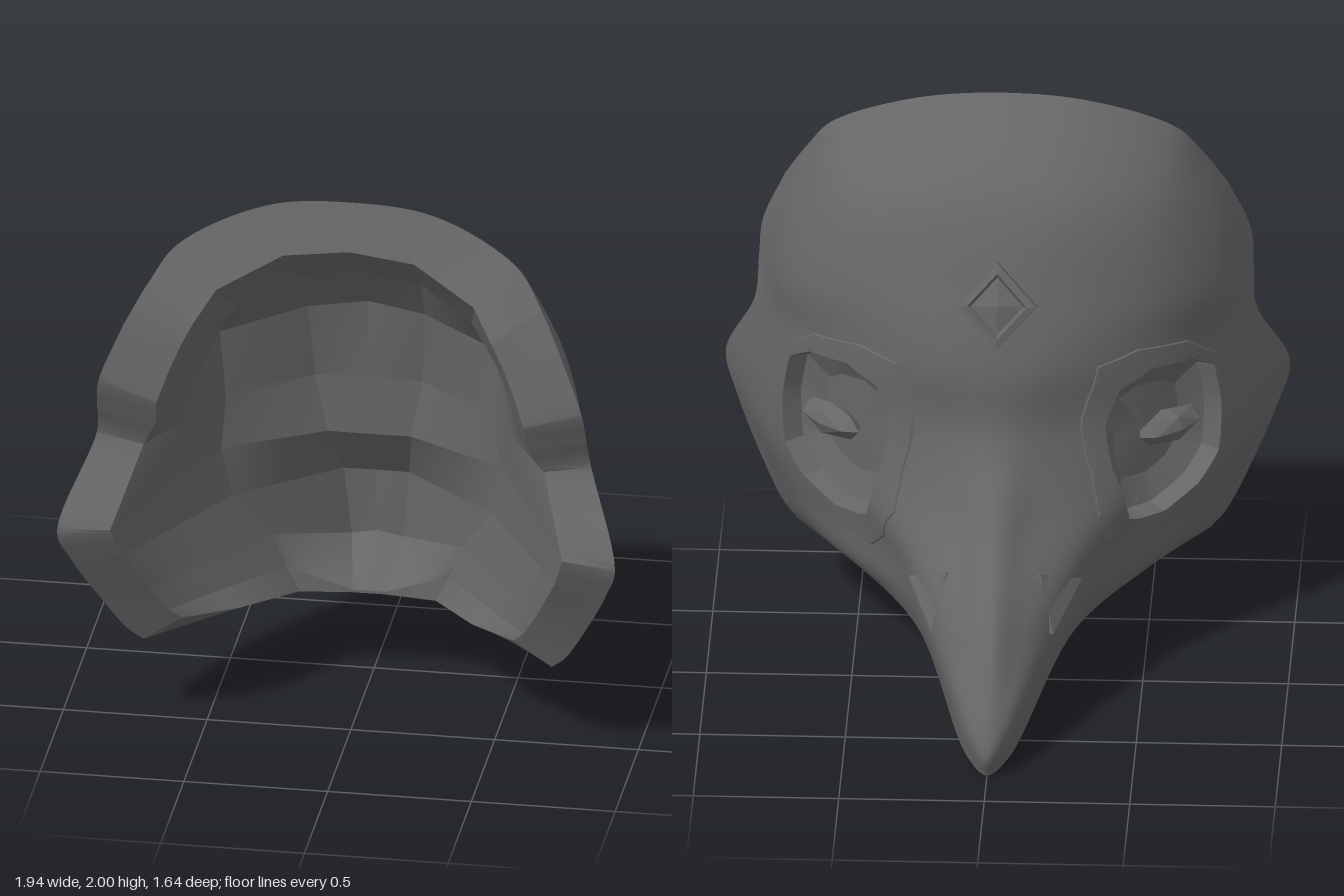
import * as THREE from 'three';
import { toCreasedNormals } from 'three/addons/utils/BufferGeometryUtils.js';
import { ConvexGeometry } from 'three/addons/geometries/ConvexGeometry.js';

// Half cross-sections from crown to beak edge; each runs from centre line to side rim.
const SECTIONS = [
  [[0, 2, .48], [.3, 1.97, .49], [.59, 1.84, .57], [.68, 1.72, .63], [.76, 1.58, .7]],
  [[0, 1.77, .15], [.28, 1.74, .17], [.54, 1.66, .28], [.72, 1.53, .47], [.84, 1.38, .74]],
  [[0, 1.45, .0], [.27, 1.43, .04], [.55, 1.38, .17], [.74, 1.31, .38], [.85, 1.27, .7]],
  [[0, 1.2, -.07], [.23, 1.2, -.03], [.53, 1.18, .14], [.73, 1.16, .37], [.86, 1.14, .65]],
  [[0, .95, -.1], [.18, .95, -.05], [.55, .95, .14], [.77, .92, .4], [.97, .84, .82]],
  [[0, .69, -.29], [.14, .7, -.18], [.51, .72, .1], [.78, .7, .42], [.93, .71, .77]],
  [[0, .42, -.6], [.11, .4, -.51], [.38, .5, 0], [.69, .5, .37], [.83, .5, .66]],
  [[0, .09, -.82], [.07, .15, -.75], [.32, .35, -.07], [.61, .38, .32], [.76, .38, .6]],
  [[0, .005, -.79], [.07, .035, -.71], [.27, .24, -.1], [.5, .3, .28], [.71, .33, .57]],
];
// Eye outlines seen from the side, as [z, y]
const LID = [[.37, 1.08], [.25, 1.18], [.1, 1.21], [.02, 1.18], [0, 1], [-.02, .8], [-.05, .65],
  [0, .54], [.08, .47], [.2, .48], [.33, .55], [.4, .68], [.41, .9]];
const OPENING = [[.35, 1.05], [.26, 1.11], [.13, 1.13], [.06, 1.08], [.03, .95], [.02, .8], [.03, .66],
  [.06, .59], [.11, .57], [.2, .56], [.3, .62], [.36, .72], [.37, .9]];
const EYE = [.18, .84];
const STEPS = 12, N = 8 * STEPS; // grid cells per side

const mirrorRow = (row) => [
  ...row.slice(1).reverse().map(([x, y, z]) => new THREE.Vector3(-x, y, z)),
  ...row.map((p) => new THREE.Vector3(...p)),
];

function smoothPath(points) {
  const curve = new THREE.CatmullRomCurve3(points);
  return Array.from({ length: N + 1 }, (_, i) => curve.getPoint(i / N));
}

function straightPath(points) {
  return Array.from({ length: N + 1 }, (_, i) => {
    const k = Math.min(Math.floor(i / STEPS), 7);
    return points[k].clone().lerp(points[k + 1], i / STEPS - k);
  });
}

// Fill a control net: grid[column][row]
function fillNet(net, path) {
  const rows = net.map(path);
  return Array.from({ length: N + 1 }, (_, i) => path(rows.map((r) => r[i])));
}

function meshFrom(points, index) {
  const g = new THREE.BufferGeometry().setFromPoints(points);
  g.setIndex(index);
  return g;
}

function gridGeometry(grid, flip, skip = () => false) {
  const index = [], id = (i, j) => i * (N + 1) + j;
  for (let i = 0; i < N; i++) for (let j = 0; j < N; j++) {
    if (skip(grid[i][j].clone().lerp(grid[i + 1][j + 1], .5))) continue;
    const a = id(i, j), b = id(i + 1, j), c = id(i + 1, j + 1), d = id(i, j + 1);
    index.push(...(flip ? [a, d, b, b, d, c] : [a, b, d, b, c, d]));
  }
  return meshFrom(grid.flat(), index);
}

// Boundary loop of a grid
function border(grid) {
  const loop = [];
  for (let i = 0; i < N; i++) loop.push(grid[i][0]);
  for (let j = 0; j < N; j++) loop.push(grid[N][j]);
  for (let i = N; i > 0; i--) loop.push(grid[i][N]);
  for (let j = N; j > 0; j--) loop.push(grid[0][j]);
  return loop;
}

// Skin a stack of equal closed loops
function loopGeometry(loops, flip) {
  const n = loops[0].length, index = [];
  for (let r = 0; r + 1 < loops.length; r++) for (let i = 0; i < n; i++) {
    const a = r * n + i, b = r * n + (i + 1) % n, c = a + n, d = b + n;
    index.push(...(flip ? [a, b, c, b, d, c] : [a, c, b, b, c, d]));
  }
  return meshFrom(loops.flat(), index);
}

// Left side point of the face at a given depth and height
function sidePoint(grid, z, y) {
  const flat = (p) => new THREE.Vector3(p.z, p.y, 0);
  const target = new THREE.Vector3(z, y, 0), w = new THREE.Vector3();
  let x = 0;
  for (let i = N / 2; i < N; i++) for (let j = 0; j < N; j++) {
    const [a, b, c, d] = [grid[i][j], grid[i + 1][j], grid[i + 1][j + 1], grid[i][j + 1]];
    for (const t of [[a, b, d], [b, c, d]]) {
      if (Math.max(...t.map((p) => p.y)) < y || Math.min(...t.map((p) => p.y)) > y) continue;
      if (!THREE.Triangle.getBarycoord(target, ...t.map(flat), w)) continue;
      if (Math.min(w.x, w.y, w.z) < -1e-4) continue;
      x = Math.max(x, t[0].x * w.x + t[1].x * w.y + t[2].x * w.z);
    }
  }
  return new THREE.Vector3(x, y, z);
}

const scaleOutline = (outline, k) => outline.map((p) => p.map((v, i) => EYE[i] + (v - EYE[i]) * k));
const blend = (a, b, t) => a.map((p, k) => p.map((v, i) => v + (b[k][i] - v) * t));
const subdivide = (outline) => outline.flatMap((p, k) => {
  const q = outline[(k + 1) % outline.length];
  return [0, 1 / 3, 2 / 3].map((t) => p.map((v, i) => v + (q[i] - v) * t));
});

function inside(outline, z, y) {
  return outline.reduce((hit, [z1, y1], k) => {
    const [z2, y2] = outline[(k + 1) % outline.length];
    const crosses = (y1 > y) !== (y2 > y) && z < z1 + (z2 - z1) * (y - y1) / (y2 - y1);
    return crosses ? !hit : hit;
  }, false);
}

function facet(g) {
  const f = g.index ? g.toNonIndexed() : g;
  f.computeVertexNormals();
  return f;
}

export function createModel() {
  const group = new THREE.Group();
  const grey = new THREE.MeshStandardMaterial({ color: 0x666666 });
  grey.name = 'dark grey';
  const add = (name, geometry) => {
    const m = new THREE.Mesh(geometry, grey);
    m.name = name;
    group.add(m);
    return m;
  };

  // Outer face with beak, cut open at the eyes
  const outer = fillNet(SECTIONS.map(mirrorRow), smoothPath);
  const cut = scaleOutline(LID, .94);
  const atEye = (p) => Math.abs(p.x) > .15 && inside(cut, p.z, p.y);
  add('face', toCreasedNormals(gridGeometry(outer, false, atEye), .5));

  // Inner lining: shrunk, moved back, with a shallow hollow behind the beak
  const lining = SECTIONS.map((row, r) => mirrorRow(row.map(([x, y, z], c) => {
    const back = c === 4 ? 0 : r === 0 ? .06 : c === 2 ? .16 : .13;
    const narrow = r < 2 ? .76 : c === 2 ? .88 : r === 2 ? .76 : .81;
    const deepest = r === 5 || r === 6 ? -.2 : -.02;
    const lift = r === 2 && c < 3 ? .09 : 0;
    const height = Math.max(.42 + (y - .33) * .85 + lift, .34 + (8 - r) * .01);
    return [x * narrow, height, Math.max(z, deepest) + back];
  })));
  const inner = fillNet(lining, straightPath);
  add('lining', toCreasedNormals(gridGeometry(inner, true), .15));
  add('rim', toCreasedNormals(loopGeometry([border(outer), border(inner)], false), .4));

  // Forehead diamond with a raised frame
  const profile = [[.16, -.05], [.15, .025], [.115, .032], [.1, .012], [0, .03]]
    .map(([x, y]) => new THREE.Vector2(x, y));
  const diamond = add('foreheadDiamond', facet(new THREE.LatheGeometry(profile, 4)));
  diamond.position.set(0, 1.42, -.01);
  diamond.rotation.x = -1.27;
  diamond.scale.x = .9;

  // Eye socket rings: lid edge, lid, then the hollow; each with its height off the face
  const rings = [[scaleOutline(LID, 1.03), -.01], [LID, .005], [blend(LID, OPENING, .5), .006],
    [OPENING, .004], [scaleOutline(OPENING, .95), -.07], [scaleOutline(OPENING, .6), -.125],
    [scaleOutline(OPENING, .01), -.13]];
  const socket = rings.map(([outline, height]) => subdivide(outline).map(([z, y]) =>
    sidePoint(outer, z, y).add(new THREE.Vector3(.75, 0, -.66).multiplyScalar(height))));
  const eyeSpot = sidePoint(outer, .22, .85);
  const nostril = [[-.17, .47], [-.31, .55], [-.39, .36]].map(([z, y]) => sidePoint(outer, z, y));

  for (const s of [1, -1]) {
    const side = s > 0 ? 'left' : 'right';
    const flip = (p) => new THREE.Vector3(s * p.x, p.y, p.z);
    add(side + 'EyeSocket', toCreasedNormals(loopGeometry(socket.map((l) => l.map(flip)), s < 0), .35));

    // Narrow eye inside the socket
    const eye = add(side + 'Eye', facet(new THREE.OctahedronGeometry(1, 1)));
    eye.scale.set(.15, .06, .06);
    eye.position.set(s * (eyeSpot.x - .055), .85, .275);
    eye.rotation.set(0, -s * .86, 0);

    // Triangular nostril plate
    const corners = nostril.flatMap((p) => [.012, -.04].map((d) =>
      flip(p.clone().add(new THREE.Vector3(d, 0, -d * .35)))));
    add(side + 'Nostril', facet(new ConvexGeometry(corners)));
  }
  return group;
}
